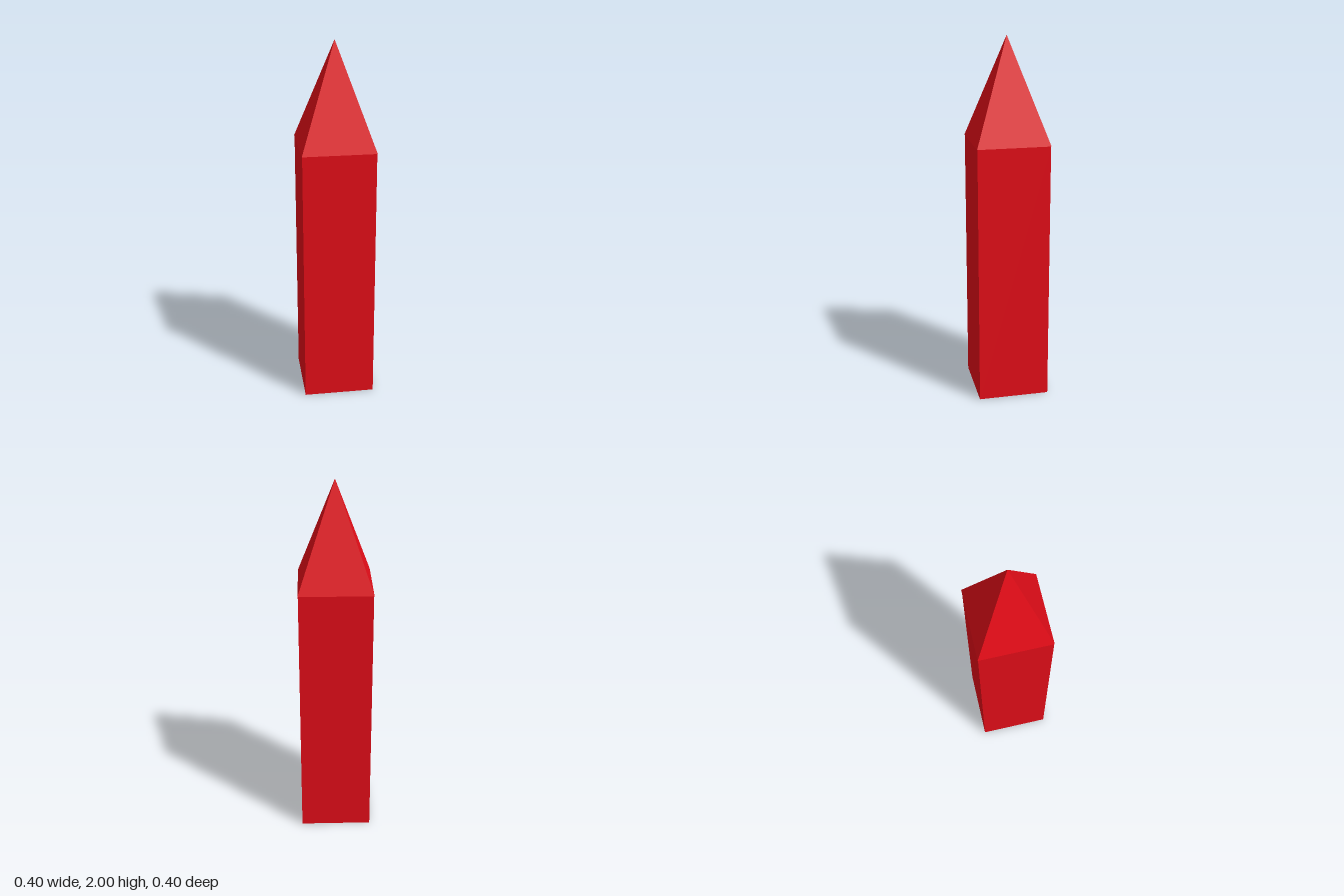
import * as THREE from 'three';

export function createModel() {
  const group = new THREE.Group();
  const red = new THREE.MeshStandardMaterial({ color: 0xe30d18, flatShading: true });

  const bodyHeight = 1.44;
  const tipHeight = 0.56;

  // Square post
  const body = new THREE.Mesh(new THREE.BoxGeometry(0.392, bodyHeight, 0.392), red);
  body.name = 'post';
  body.position.y = bodyHeight / 2;

  // Four-sided pointed cap, a hair wider than the post
  const capGeometry = new THREE.ConeGeometry(0.198 * Math.SQRT2, tipHeight, 4);
  capGeometry.rotateY(Math.PI / 4);
  const cap = new THREE.Mesh(capGeometry, red);
  cap.name = 'pointedCap';
  cap.position.y = bodyHeight + tipHeight / 2;

  group.add(body, cap);
  return group;
}
